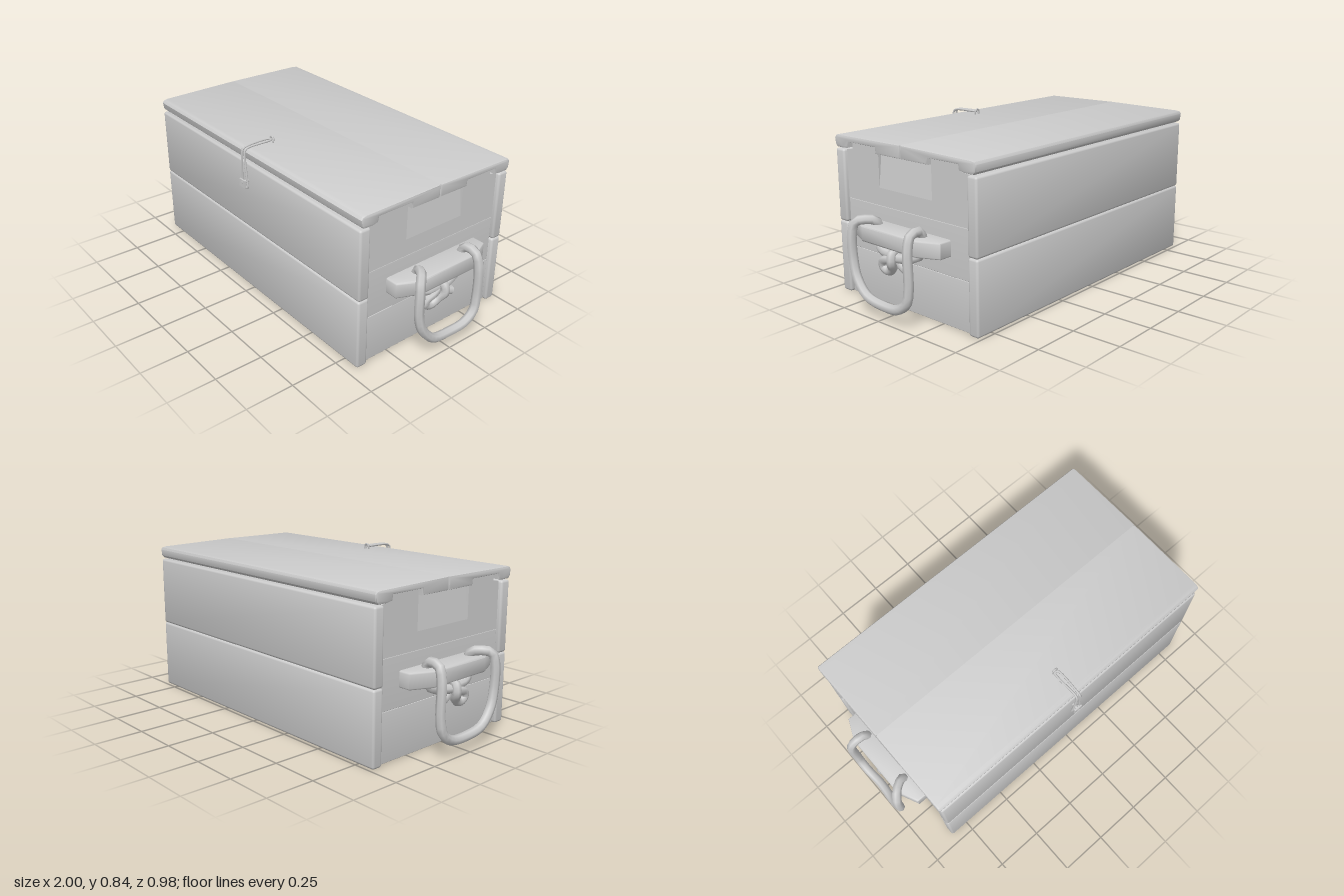
import * as THREE from 'three';
import { toCreasedNormals } from 'three/addons/utils/BufferGeometryUtils.js';
import { RoundedBoxGeometry } from 'three/addons/geometries/RoundedBoxGeometry.js';

const grey = new THREE.MeshStandardMaterial({ color: 0xcccccc });
grey.name = 'pale grey';

function add(parent, name, geometry) {
  const mesh = new THREE.Mesh(geometry, grey);
  mesh.name = name;
  parent.add(mesh);
  return mesh;
}

// Rounded board given by its lower and upper limits on each axis,
// with normals spread towards its ends so that it shades as softly worn wood
function board(parent, name, [x0, x1], [y0, y1], [z0, z1], radius, soft) {
  const geometry = new RoundedBoxGeometry(x1 - x0, y1 - y0, z1 - z0, 2, radius);
  const { position, normal } = geometry.attributes;
  const n = new THREE.Vector3();
  for (let i = 0; i < position.count; i++) {
    n.fromBufferAttribute(normal, i);
    n.x += soft * position.getX(i) / (x1 - x0);
    n.y += soft * position.getY(i) / (y1 - y0);
    n.normalize();
    normal.setXYZ(i, n.x, n.y, n.z);
  }
  geometry.translate((x0 + x1) / 2, (y0 + y1) / 2, (z0 + z1) / 2);
  return add(parent, name, geometry);
}

// Profile of [z, y] points extruded along x
function alongX(points, x0, x1, bevel) {
  const shape = new THREE.Shape(points.map(([z, y]) => new THREE.Vector2(-z, y)));
  const geometry = new THREE.ExtrudeGeometry(shape, {
    depth: x1 - x0 - 2 * bevel, bevelEnabled: bevel > 0, bevelSize: bevel,
    bevelThickness: bevel, bevelOffset: -bevel, bevelSegments: 2,
  });
  geometry.rotateY(Math.PI / 2).translate(x0 + bevel, 0, 0);
  return toCreasedNormals(geometry, 0.7);
}

// Rope or wire through [x, y, z] points
function tube(points, radius, segments, sides, closed = false) {
  const path = new THREE.CatmullRomCurve3(points.map(p => new THREE.Vector3(...p)), closed, 'centripetal');
  return new THREE.TubeGeometry(path, segments, radius, sides, closed);
}

function ropeHandle(side) {
  const handle = new THREE.Group();
  handle.name = side > 0 ? 'leftHandle' : 'rightHandle';
  const place = pts => pts.map(([z, y, x]) => [side * x, y, z]);

  // Wooden cleat with slanted ends
  const outline = [[0.80, 0.27], [0.89, 0.27], [0.94, 0.16], [0.94, -0.2], [0.89, -0.31], [0.80, -0.31]];
  const shape = new THREE.Shape(outline.map(([x, z]) => new THREE.Vector2(side * x, -z)));
  const cleat = new THREE.ExtrudeGeometry(shape, {
    depth: 0.064, bevelSize: 0.008, bevelThickness: 0.008, bevelOffset: -0.008, bevelSegments: 2,
  });
  cleat.rotateX(-Math.PI / 2).translate(0, 0.348, 0);
  add(handle, 'cleat', toCreasedNormals(cleat, 0.9));

  // Hanging loop, passing over the cleat and down behind it to the knot
  add(handle, 'ropeLoop', tube(place([
    [0.0, 0.30, 0.89], [0.06, 0.30, 0.89], [0.12, 0.32, 0.87], [0.13, 0.38, 0.86],
    [0.125, 0.435, 0.88], [0.155, 0.448, 0.93], [0.187, 0.435, 0.96], [0.198, 0.38, 0.972],
    [0.195, 0.25, 0.972], [0.17, 0.17, 0.975], [0.1, 0.095, 0.977], [-0.02, 0.07, 0.97],
    [-0.12, 0.085, 0.977], [-0.175, 0.13, 0.977], [-0.19, 0.2, 0.975], [-0.187, 0.38, 0.972],
    [-0.182, 0.44, 0.95], [-0.178, 0.447, 0.89], [-0.17, 0.38, 0.86], [-0.15, 0.32, 0.87],
    [-0.07, 0.295, 0.89], [0.0, 0.29, 0.9],
  ]), 0.024, 56, 7));

  // Knot: one bight, one turn across it and a free tail
  add(handle, 'ropeKnot', tube(place([
    [-0.03, 0.29, 0.88], [0.03, 0.275, 0.9], [0.07, 0.255, 0.895], [0.075, 0.225, 0.89],
    [0.04, 0.21, 0.89], [0.0, 0.235, 0.9], [-0.02, 0.275, 0.925], [-0.018, 0.315, 0.915],
    [-0.01, 0.315, 0.88], [0.0, 0.27, 0.86], [-0.04, 0.255, 0.88], [-0.1, 0.235, 0.89],
  ]), 0.023, 36, 7));
  const [tail, tailIn] = place([[-0.1, 0.235, 0.89], [-0.04, 0.255, 0.88]]).map(p => new THREE.Vector3(...p));
  const cap = add(handle, 'ropeEnd', new THREE.CircleGeometry(0.023, 7));
  cap.position.copy(tail);
  cap.lookAt(tail.clone().multiplyScalar(2).sub(tailIn));
  return handle;
}

function latch() {
  const group = new THREE.Group();
  group.name = 'latch';
  group.position.x = -0.005;
  // Wire loop bent over the lid edge, widening downward
  const half = [[0.008, 0.826, 0.31], [0.009, 0.822, 0.45], [0.01, 0.812, 0.468],
    [0.012, 0.77, 0.472], [0.022, 0.65, 0.47], [0.022, 0.614, 0.468]];
  const mirrored = half.map(([x, y, z]) => [-x, y, z]).reverse();
  add(group, 'wireLoop', tube([...half, ...mirrored], 0.006, 70, 6, true));

  // Staple on the lid and peg on the front
  add(group, 'lidStaple', tube([
    [-0.012, 0.8, 0.305], [-0.012, 0.83, 0.3], [0, 0.838, 0.3], [0.012, 0.83, 0.3], [0.012, 0.8, 0.305],
  ], 0.005, 16, 6));
  add(group, 'peg', new THREE.CylinderGeometry(0.009, 0.009, 0.05, 7)
    .rotateX(Math.PI / 2).translate(0, 0.64, 0.465));
  add(group, 'pegHead', new THREE.BoxGeometry(0.045, 0.04, 0.008).translate(0, 0.636, 0.484));
  return group;
}

function endWall(side) {
  const wall = new THREE.Group();
  wall.name = side > 0 ? 'leftEnd' : 'rightEnd';
  const x = side > 0 ? [0.76, 0.825] : [-0.83, -0.765];
  board(wall, 'lowerPlank', x, [0.004, 0.248], [-0.428, 0.388], 0.003, 0.25);
  board(wall, 'middlePlank', x, [0.248, 0.493], [-0.428, 0.388], 0.003, 0.1);

  // Upper plank with two tabs reaching into the lid
  add(wall, 'upperPlank', alongX([
    [0.388, 0.493], [0.388, 0.735], [0.345, 0.742], [0.345, 0.776], [0.177, 0.776], [0.158, 0.768],
    [0.158, 0.58], [-0.197, 0.58], [-0.197, 0.768], [-0.216, 0.776], [-0.38, 0.776], [-0.38, 0.742],
    [-0.428, 0.735], [-0.428, 0.493],
  ], ...x, 0));
  // Panel between the tabs, leaning slightly inwards
  const face = side > 0 ? 0.825 : 0.83;
  const section = [[face, 0.58], [face - 0.02, 0.75], [0.765, 0.75], [0.765, 0.58]];
  const panel = new THREE.Shape(section.map(([px, py]) => new THREE.Vector2(side * px, py)));
  add(wall, 'leaningPanel', new THREE.ExtrudeGeometry(panel, { depth: 0.355, bevelEnabled: false })
    .translate(0, 0, -0.197));
  return wall;
}

export function createModel() {
  const crate = new THREE.Group();
  crate.name = 'crate';

  // Long walls, two planks each
  for (const [name, z] of [['front', [0.39, 0.45]], ['back', [-0.487, -0.43]]]) {
    board(crate, name + 'LowerPlank', [-0.85, 0.845], [0.002, 0.37], z, 0.012, 0.4);
    board(crate, name + 'UpperPlank', [-0.85, 0.845], [0.37, 0.737], z, 0.012, 0.4);
  }
  for (const side of [-1, 1]) crate.add(endWall(side), ropeHandle(side));

  // Floor
  add(crate, 'floor', new THREE.BoxGeometry(1.54, 0.03, 0.83).translate(-0.0025, 0.023, -0.02));

  // Two lid planks, notched underneath for the tabs
  add(crate, 'lidFrontPlank', alongX([
    [-0.02, 0.746], [0.152, 0.746], [0.156, 0.777], [0.348, 0.777], [0.353, 0.75], [0.385, 0.744],
    [0.432, 0.744], [0.445, 0.757], [0.45, 0.79], [0.44, 0.803], [0.42, 0.808], [-0.02, 0.812],
  ], -0.857, 0.85, 0.01));
  add(crate, 'lidBackPlank', alongX([
    [-0.02, 0.746], [-0.02, 0.812], [-0.46, 0.806], [-0.482, 0.802], [-0.489, 0.79], [-0.485, 0.757],
    [-0.472, 0.744], [-0.42, 0.744], [-0.387, 0.75], [-0.383, 0.777], [-0.199, 0.777], [-0.195, 0.746],
  ], -0.857, 0.85, 0.01));

  crate.add(latch());
  return crate;
}
